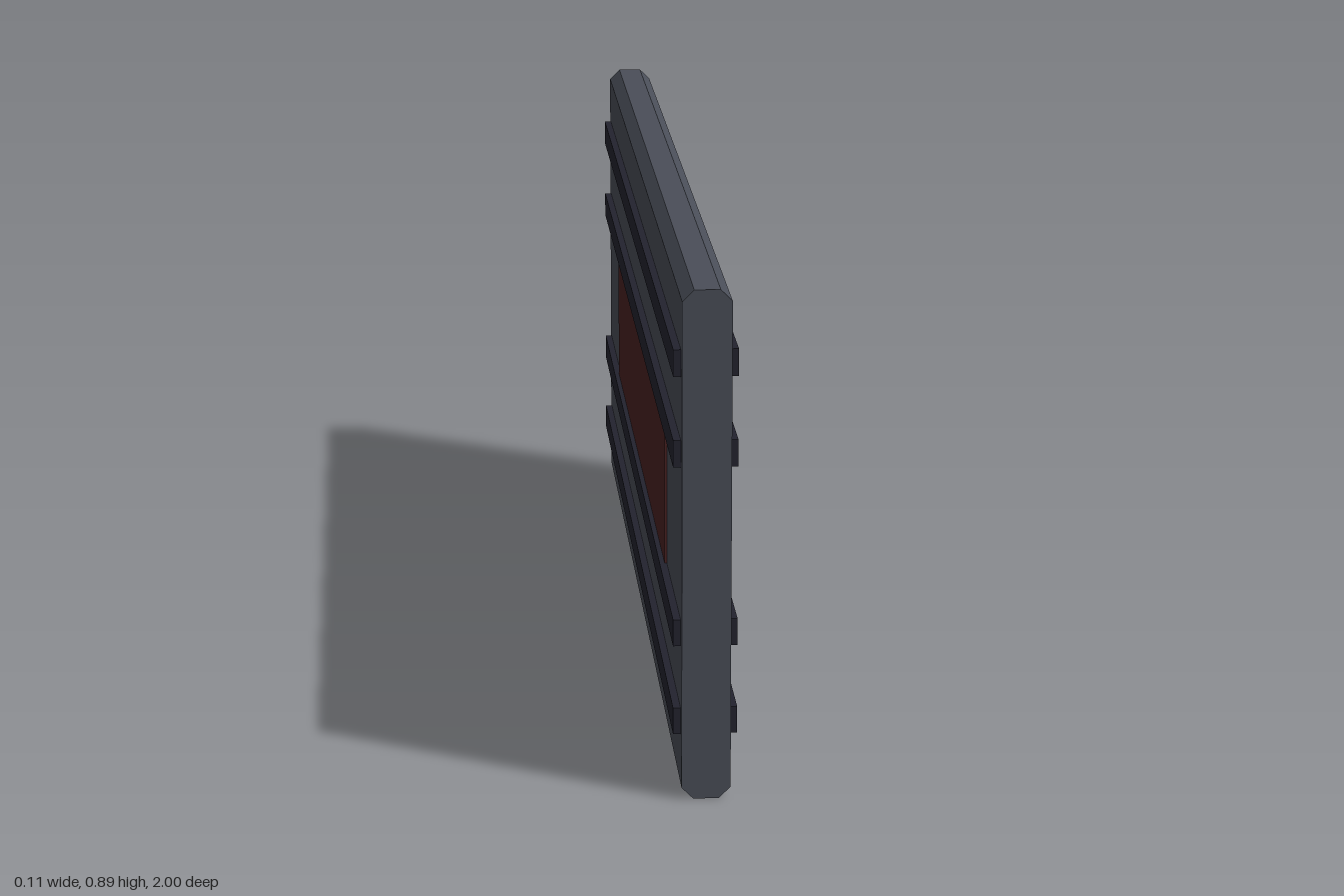
import * as THREE from 'three';

const slate = new THREE.MeshStandardMaterial({ color: 0x4a4e58 });
slate.name = 'slate grey';
const dark = new THREE.MeshStandardMaterial({ color: 0x23232e });
dark.name = 'dark rail';
const red = new THREE.MeshStandardMaterial({ color: 0x4a2222 });
red.name = 'deep red';

const HEIGHT = 0.895, HALF = 0.042, BEVEL = 0.02;

export function createModel() {
  const model = new THREE.Group();
  model.name = 'panel';

  // Slab: octagonal section, chamfered along the top and bottom edges
  const inner = HALF - BEVEL;
  const section = new THREE.Shape([
    [-inner, 0], [inner, 0], [HALF, BEVEL], [HALF, HEIGHT - BEVEL],
    [inner, HEIGHT], [-inner, HEIGHT], [-HALF, HEIGHT - BEVEL], [-HALF, BEVEL],
  ].map(([x, y]) => new THREE.Vector2(x, y)));
  const slabGeometry = new THREE.ExtrudeGeometry(section, { depth: 2, bevelEnabled: false });
  slabGeometry.translate(0, 0, -1);
  const slab = new THREE.Mesh(slabGeometry, slate);
  slab.name = 'slab';
  model.add(slab);

  // Box fixed to one face of the slab, standing out by the given depth
  const addToFace = (name, side, y, depth, height, length, material) => {
    const mesh = new THREE.Mesh(new THREE.BoxGeometry(depth, height, length), material);
    mesh.name = name;
    mesh.position.set(side * (HALF + depth / 2), y, 0);
    model.add(mesh);
  };

  for (const [side, label] of [[1, 'left'], [-1, 'right']]) {
    // Four long rails
    [0.1325, 0.2905, 0.6065, 0.7635].forEach((y, i) =>
      addToFace(`${label}Rail${i + 1}`, side, y, 0.013, 0.047, 1.95, dark));
    // Thin coloured plate between the middle rails
    addToFace(`${label}Plate`, side, 0.4485, 0.004, 0.269, 1.315, red);
  }
  return model;
}
